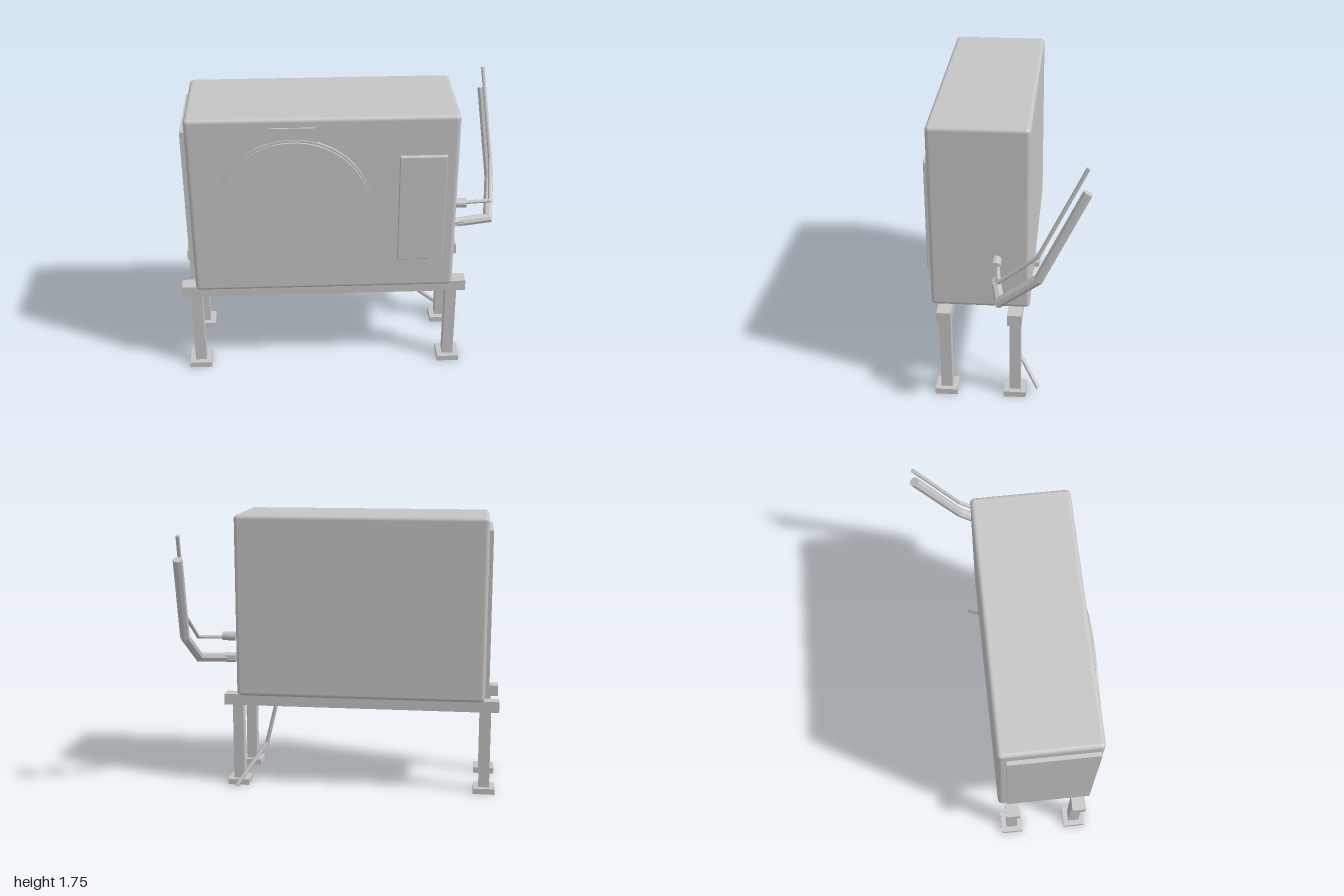
import * as THREE from 'three';
import { RoundedBoxGeometry } from 'three/addons/geometries/RoundedBoxGeometry.js';

// Faceted pipe with mitred bends and closed ends
function pipeGeometry(points, radius, sides) {
  const pts = points.map(p => new THREE.Vector3(...p));
  const dirs = pts.slice(1).map((p, i) => p.clone().sub(pts[i]).normalize());
  const u = new THREE.Vector3(0, 0, 1).cross(dirs[0]).normalize();
  const v = dirs[0].clone().cross(u);
  const rings = [[]];
  for (let k = 0; k < sides; k++) {
    const a = (k / sides) * Math.PI * 2;
    rings[0].push(pts[0].clone().addScaledVector(u, Math.cos(a) * radius).addScaledVector(v, Math.sin(a) * radius));
  }
  dirs.forEach((d, i) => {
    // slide each corner along the segment to the bisecting plane of the bend
    const n = d.clone().add(dirs[i + 1] || d).normalize();
    rings.push(rings[i].map(q => {
      const t = pts[i + 1].clone().sub(q).dot(n) / d.dot(n);
      return q.clone().addScaledVector(d, t);
    }));
  });
  const out = [];
  const tri = (...corners) => corners.forEach(c => out.push(c.x, c.y, c.z));
  const last = rings.length - 1;
  for (let k = 0; k < sides; k++) {
    const m = (k + 1) % sides;
    for (let i = 0; i < last; i++) {
      tri(rings[i][k], rings[i][m], rings[i + 1][m]);
      tri(rings[i][k], rings[i + 1][m], rings[i + 1][k]);
    }
    tri(pts[0], rings[0][m], rings[0][k]);
    tri(pts[last], rings[last][k], rings[last][m]);
  }
  const g = new THREE.BufferGeometry();
  g.setAttribute('position', new THREE.Float32BufferAttribute(out, 3));
  g.computeVertexNormals();
  return g;
}

export function createModel() {
  const model = new THREE.Group();
  model.name = 'outdoorAirConditioner';
  const grey = new THREE.MeshStandardMaterial({ color: 0xc4c4c4 });
  grey.name = 'light grey';

  const add = (name, geometry, x = 0, y = 0, z = 0) => {
    const mesh = new THREE.Mesh(geometry, grey);
    mesh.name = name;
    mesh.position.set(x, y, z);
    model.add(mesh);
    return mesh;
  };
  // Box given by its limits on each axis
  const box = (name, [x0, x1], [y0, y1], [z0, z1], r = 0) => {
    const s = [x1 - x0, y1 - y0, z1 - z0];
    const g = r ? new RoundedBoxGeometry(...s, 3, r) : new THREE.BoxGeometry(...s);
    return add(name, g, (x0 + x1) / 2, (y0 + y1) / 2, (z0 + z1) / 2);
  };

  // Casing and its raised panels
  box('casing', [-0.91, 0.66], [0.6, 1.75], [-0.135, 0.455], 0.025);
  box('sidePanel', [-0.935, -0.9], [0.69, 1.67], [-0.085, 0.435]);
  box('servicePanel', [0.315, 0.59], [0.81, 1.505], [0.44, 0.48], 0.005);
  box('namePlate', [-0.44, -0.16], [1.6, 1.695], [0.45, 0.465]);

  // Round fan cover: wide rim with a slightly smaller raised disc
  for (const [name, r, front] of [['fanRim', 0.453, 0.472], ['fanCover', 0.44, 0.484]]) {
    const depth = front - 0.445;
    add(name, new THREE.CylinderGeometry(r, r, depth, 64), -0.297, 1.172, 0.445 + depth / 2).rotation.x = Math.PI / 2;
  }

  // Stand: two rails, each on two legs with feet
  for (const z of [0.37, -0.05]) {
    box('rail', [-1, 0.75], [0.53, 0.6], [z - 0.043, z + 0.043]);
    for (const x of [-0.917, 0.664]) {
      box('leg', [x - 0.034, x + 0.034], [0.03, 0.53], [z - 0.034, z + 0.034]);
      box('foot', [x - 0.068, x + 0.068], [0, 0.036], [z - 0.068, z + 0.068]);
    }
  }

  // Valves and refrigerant pipes
  add('upperValve', pipeGeometry([[0.7, 0.95, 0.055], [0.785, 0.95, 0.055]], 0.029, 12));
  add('lowerValve', pipeGeometry([[0.7, 0.81, 0.055], [0.77, 0.81, 0.052]], 0.032, 6));
  add('thinPipe', pipeGeometry(
    [[0.75, 0.945, 0.045], [0.94, 0.945, 0.025], [0.965, 1.13, -0.195], [0.925, 1.655, -0.455]], 0.012, 8));
  add('thickPipe', pipeGeometry(
    [[0.74, 0.81, 0.055], [0.935, 0.813, 0.02], [0.968, 0.99, -0.2], [0.928, 1.512, -0.457]], 0.03, 8));

  // Drain hose below the casing
  add('drainHose', pipeGeometry(
    [[0.405, 0.61, -0.017], [0.49, 0.26, -0.017], [0.66, 0.02, -0.19]], 0.013, 8));

  return model;
}
